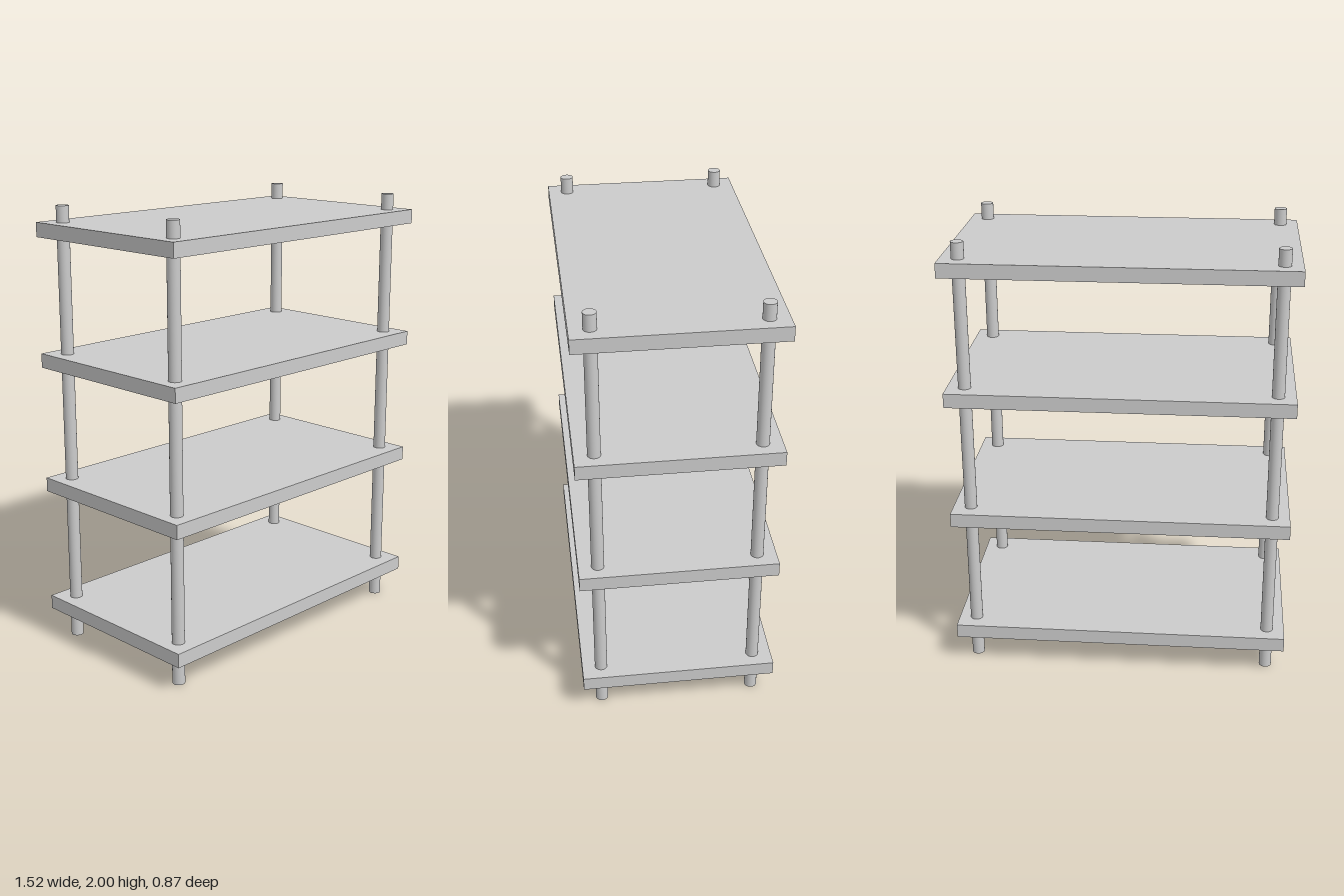
import * as THREE from 'three';

export function createModel() {
  const group = new THREE.Group();
  const material = new THREE.MeshStandardMaterial({ color: 0xcccccc });

  function add(name, geometry, x, y, z) {
    const mesh = new THREE.Mesh(geometry, material);
    mesh.name = name;
    mesh.position.set(x, y, z);
    group.add(mesh);
  }

  // Four evenly spaced shelf boards
  const board = new THREE.BoxGeometry(1.518, 0.064, 0.867);
  for (let i = 0; i < 4; i++) add(`shelf${i + 1}`, board, 0, 0.158 + i * 0.579, 0);

  // Round corner posts running through every shelf
  const post = new THREE.CylinderGeometry(0.028, 0.028, 2, 32);
  for (const [side, x] of [['Left', 0.68], ['Right', -0.68]]) {
    add(`front${side}Post`, post, x, 1, 0.348);
    add(`back${side}Post`, post, x, 1, -0.348);
  }

  return group;
}
